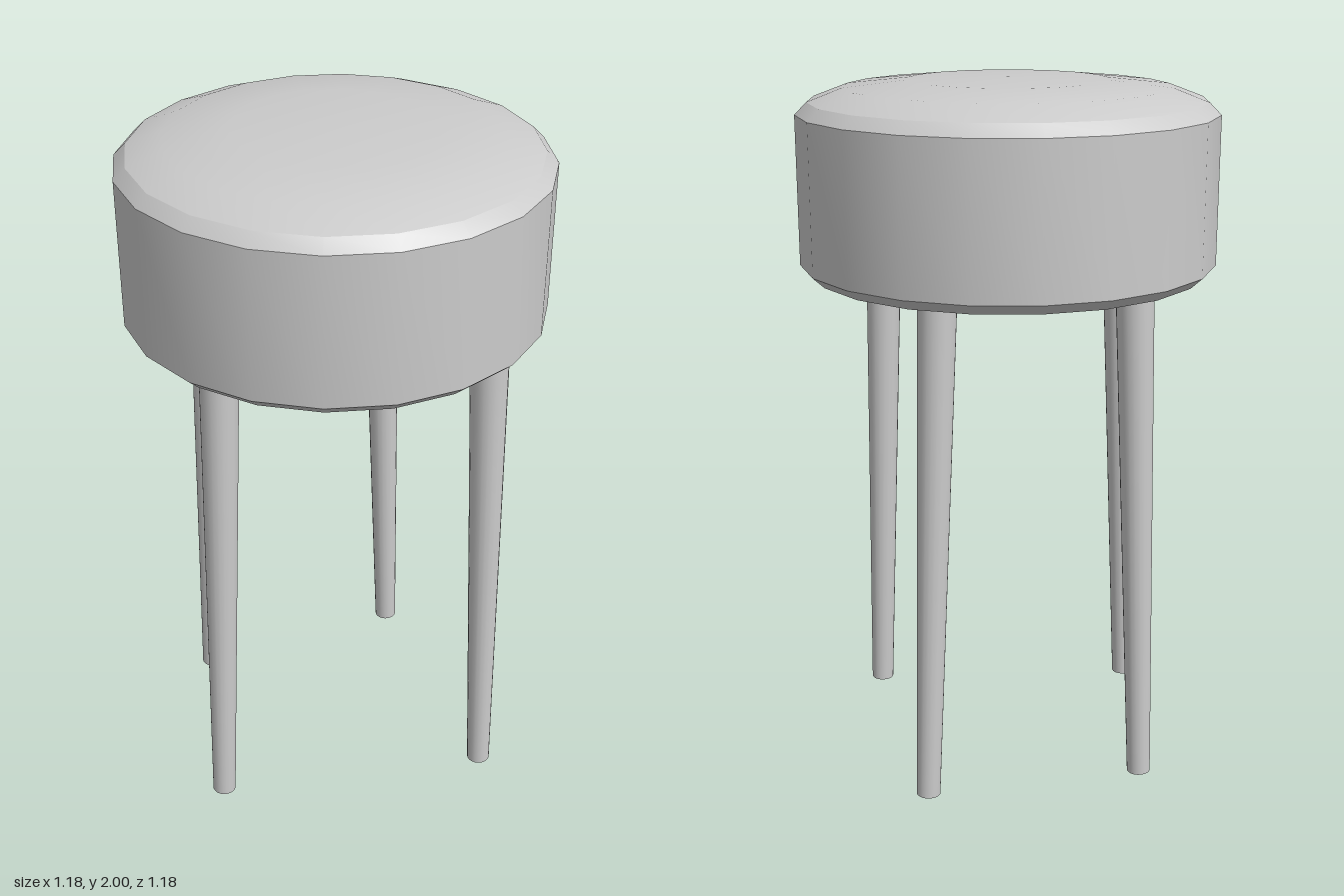
import * as THREE from 'three';
import { toCreasedNormals } from 'three/addons/utils/BufferGeometryUtils.js';

const material = new THREE.MeshStandardMaterial({ color: 0xcccccc });

// Tapered round leg between two points, narrow at the foot
function makeLeg(name, foot, top) {
  const a = new THREE.Vector3(...foot);
  const b = new THREE.Vector3(...top);
  const axis = b.clone().sub(a);
  const leg = new THREE.Mesh(new THREE.CylinderGeometry(0.053, 0.034, axis.length(), 20), material);
  leg.position.copy(a).add(b).multiplyScalar(0.5);
  leg.quaternion.setFromUnitVectors(new THREE.Vector3(0, 1, 0), axis.normalize());
  leg.name = name;
  return leg;
}

export function createModel() {
  const stool = new THREE.Group();
  stool.name = 'stool';

  // Thick round cushion with bevelled rims and a gently domed top
  const profile = [
    [0, 1.46], [0.555, 1.46], [0.588, 1.49], [0.588, 1.905],
    [0.555, 1.938], [0.457, 1.975], [0.28, 1.994], [0, 2],
  ].map(([r, y]) => new THREE.Vector2(r, y));
  const seat = new THREE.Mesh(
    toCreasedNormals(new THREE.LatheGeometry(profile, 20), 0.35), material);
  seat.name = 'seat';
  stool.add(seat);

  // Four splayed legs, each standing at a slightly different angle
  const legs = [
    ['frontLeftLeg', [0.364, 0.02, 0.371], [0.328, 1.47, 0.356]],
    ['frontRightLeg', [-0.432, 0.02, 0.295], [-0.386, 1.47, 0.272]],
    ['backLeftLeg', [0.29, 0.02, -0.39], [0.242, 1.47, -0.362]],
    ['backRightLeg', [-0.343, 0.002, -0.322], [-0.302, 1.47, -0.298]],
  ];
  for (const [name, foot, top] of legs) stool.add(makeLeg(name, foot, top));

  return stool;
}
